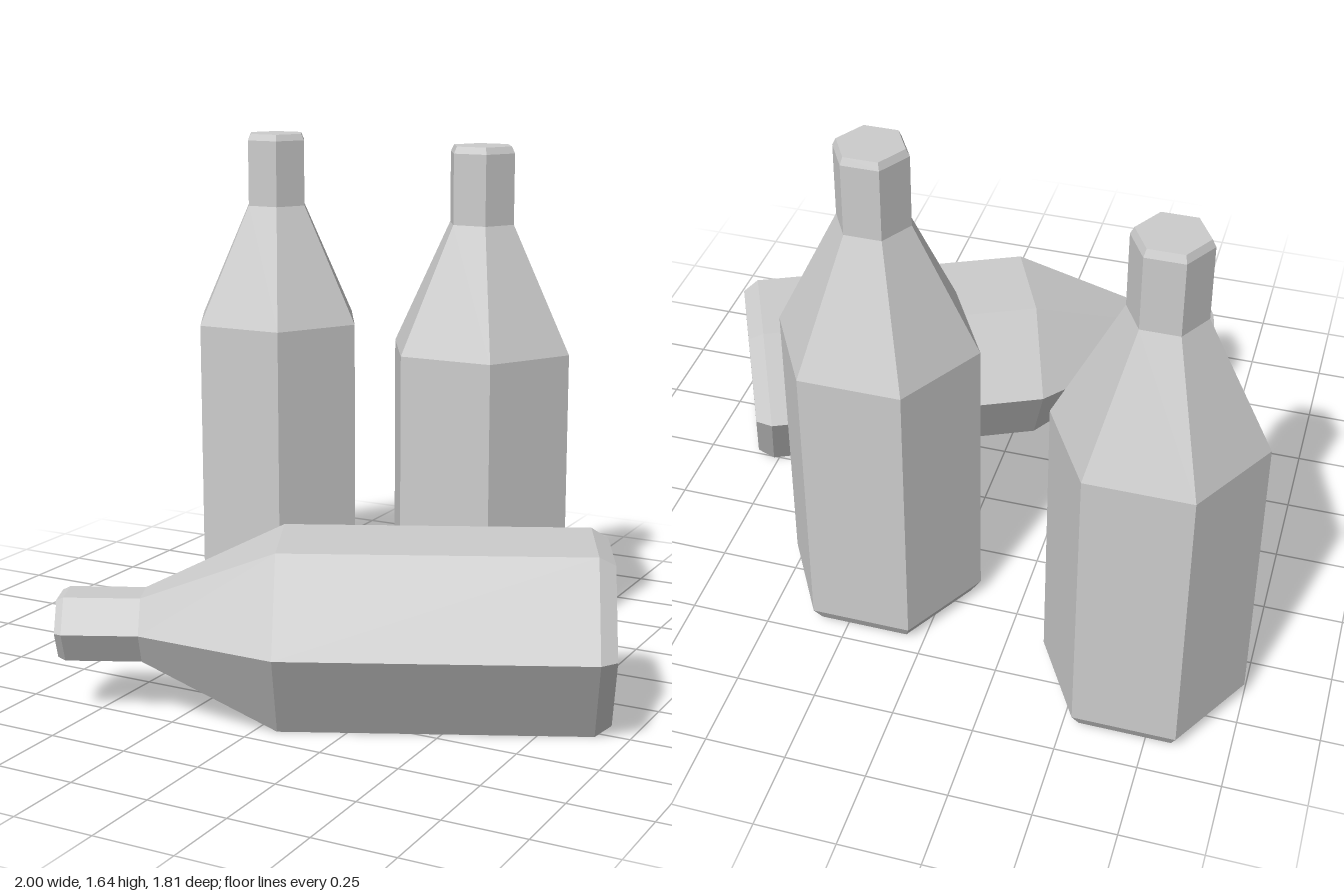
import * as THREE from 'three';

// Half profile of a bottle, from the base centre up to the mouth centre: [radius, height]
const PROFILE = [
  [0, 0], [0.28, 0], [0.313, 0.05],      // base with bevel
  [0.313, 0.975], [0.113, 1.385],        // body and shoulder
  [0.113, 1.613], [0.102, 1.635], [0, 1.635], // neck and closed mouth
];

export function createModel() {
  const group = new THREE.Group();
  group.name = 'bottles';

  const points = PROFILE.map(([r, y]) => new THREE.Vector2(r, y));
  // six sides, with corners on the local x axis
  const geometry = new THREE.LatheGeometry(points, 6, Math.PI / 2);
  const material = new THREE.MeshStandardMaterial({ color: 0xcccccc, flatShading: true });

  const addBottle = (name, x, y, z) => {
    const bottle = new THREE.Mesh(geometry, material);
    bottle.name = name;
    bottle.position.set(x, y, z);
    group.add(bottle);
    return bottle;
  };

  // two upright bottles
  addBottle('rightStandingBottle', -0.687, 0, -0.64);
  addBottle('leftStandingBottle', 0.2, 0, -0.44);

  // bottle lying on one flat side, mouth towards the front right
  const lying = addBottle('lyingBottle', 0.88, 0.271, 0.115);
  lying.rotation.set(Math.PI / 2, -1.132, 0, 'YXZ');

  return group;
}
